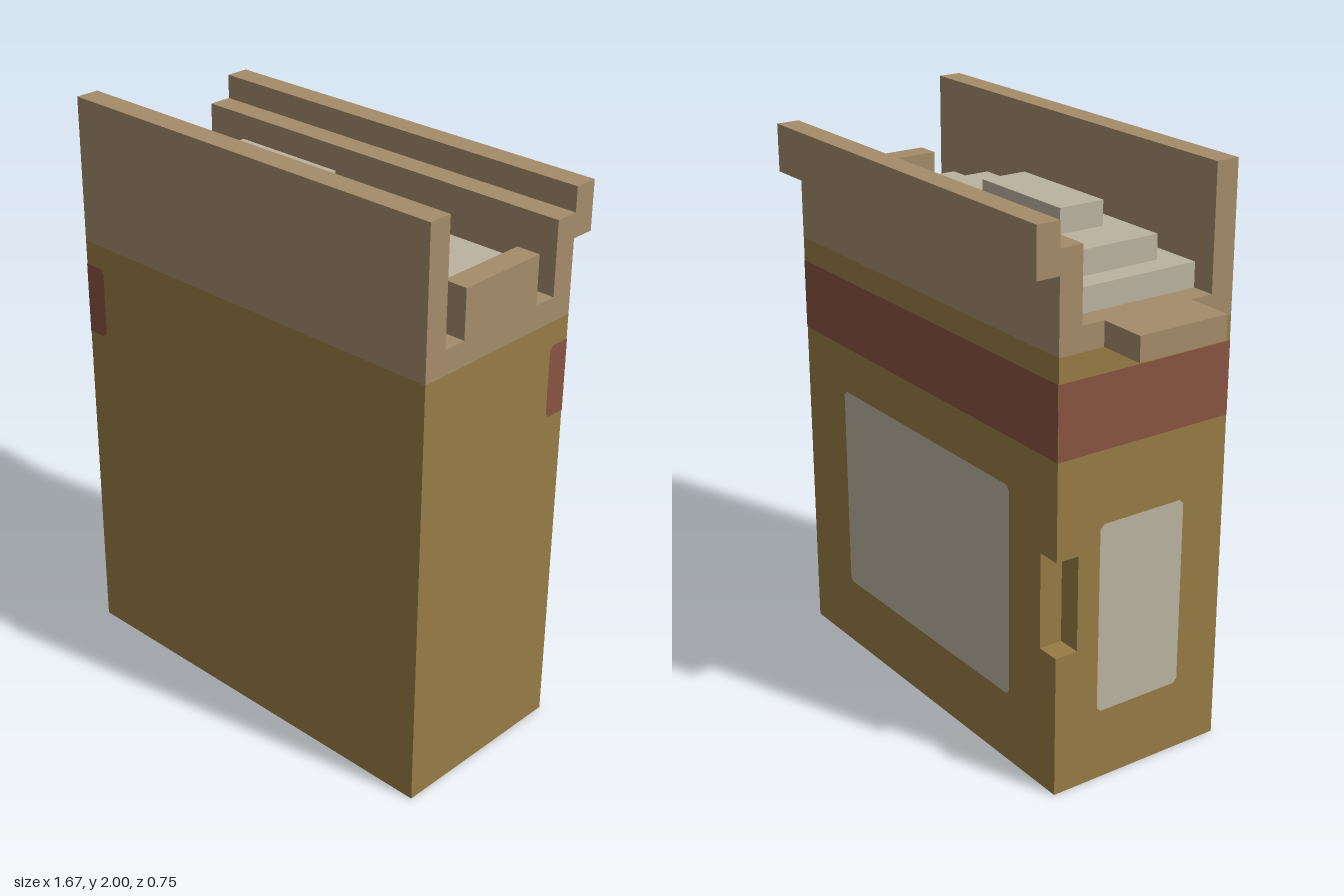
import * as THREE from 'three';

const U = 1 / 12; // modelling grid step

function material(name, color) {
  const m = new THREE.MeshStandardMaterial({ color });
  m.name = name;
  return m;
}

export function createModel() {
  const gold = material('goldenBrown', 0x977c45);
  const tan = material('tan', 0xa58c6a);
  const red = material('rustRed', 0x885442);
  const cream = material('cream', 0xbbb3a0);
  const model = new THREE.Group();
  model.name = 'pouch';

  function add(name, geometry, mat) {
    const mesh = new THREE.Mesh(geometry, mat);
    mesh.name = name;
    model.add(mesh);
    return mesh;
  }

  // Box given by its limits in grid steps
  function box(name, mat, x0, x1, y0, y1, z0, z1) {
    const g = new THREE.BoxGeometry((x1 - x0) * U, (y1 - y0) * U, (z1 - z0) * U);
    g.translate((x0 + x1) / 2 * U, (y0 + y1) / 2 * U, (z0 + z1) / 2 * U);
    return add(name, g, mat);
  }

  // Flat patch with clipped corners on the left and/or right end
  function patch(name, mat, w, h, x, y, z, turn, cutLeft, cutRight) {
    const a = w * U / 2, b = h * U / 2, l = cutLeft ? 0.015 : 0, r = cutRight ? 0.015 : 0;
    const outline = [
      [-a + l, -b], [a - r, -b], [a, -b + r], [a, b - r],
      [a - r, b], [-a + l, b], [-a, b - l], [-a, -b + l],
    ].map(([px, py]) => new THREE.Vector2(px, py));
    const points = outline.filter((p, i) => !p.equals(outline[(i + 1) % 8]));
    const mesh = add(name, new THREE.ShapeGeometry(new THREE.Shape(points)), mat);
    mesh.rotation.y = turn;
    mesh.position.set(x * U, y * U, z * U).add(
      new THREE.Vector3(Math.sin(turn), 0, Math.cos(turn)).multiplyScalar(0.0015));
  }

  // Body with a notch in the back corner
  box('bodyLower', gold, -8, 10, 0, 6, -3.5, 4.5);
  box('bodyNotchedSide', gold, -8, -7, 6, 10, -2.5, 4.5);
  box('bodyMiddle', gold, -7, 10, 6, 10, -3.5, 4.5);
  box('bodyUpper', gold, -8, 10, 10, 18, -3.5, 4.5);

  // Rim, walls and flaps
  box('rimFloor', tan, -8, 10, 18, 19, -3.5, 4.5);
  box('frontWall', tan, -8, 10, 19, 24, 3.5, 4.5);
  box('backWall', tan, -8, 10, 19, 22, -3.5, -2.5);
  box('backLip', tan, -8, 10, 21, 23, -4.5, -3.5);
  box('endBlock', tan, 9, 10, 19, 21, -1.5, 2.5);
  box('sideTab', tan, -10, -8, 18, 19, -1.5, 2.5);

  // Stepped heap of contents
  box('contentsBase', cream, -7, 9, 19, 20, -2.5, 3.5);
  box('contentsMiddle', cream, -6, 5, 20, 21, -1.5, 2.5);
  box('contentsTop', cream, -4, 1, 21, 22, -0.5, 1.5);

  // Red band wrapping the back and one side, ending just past the corners
  patch('bandBack', red, 18, 3, 1, 15.5, -3.5, Math.PI, false, false);
  patch('bandSide', red, 8, 3, -8, 15.5, 0.5, -Math.PI / 2, false, false);
  patch('bandFrontEnd', red, 1, 3, -7.5, 15.5, 4.5, 0, false, true);
  patch('bandSideEnd', red, 1, 3, 10, 15.5, -3, Math.PI / 2, true, false);

  // Labels
  patch('backLabel', cream, 12, 9, 1, 7.5, -3.5, Math.PI, true, true);
  patch('sideLabel', cream, 4, 8, -8, 7, 0.5, -Math.PI / 2, true, true);

  return model;
}
